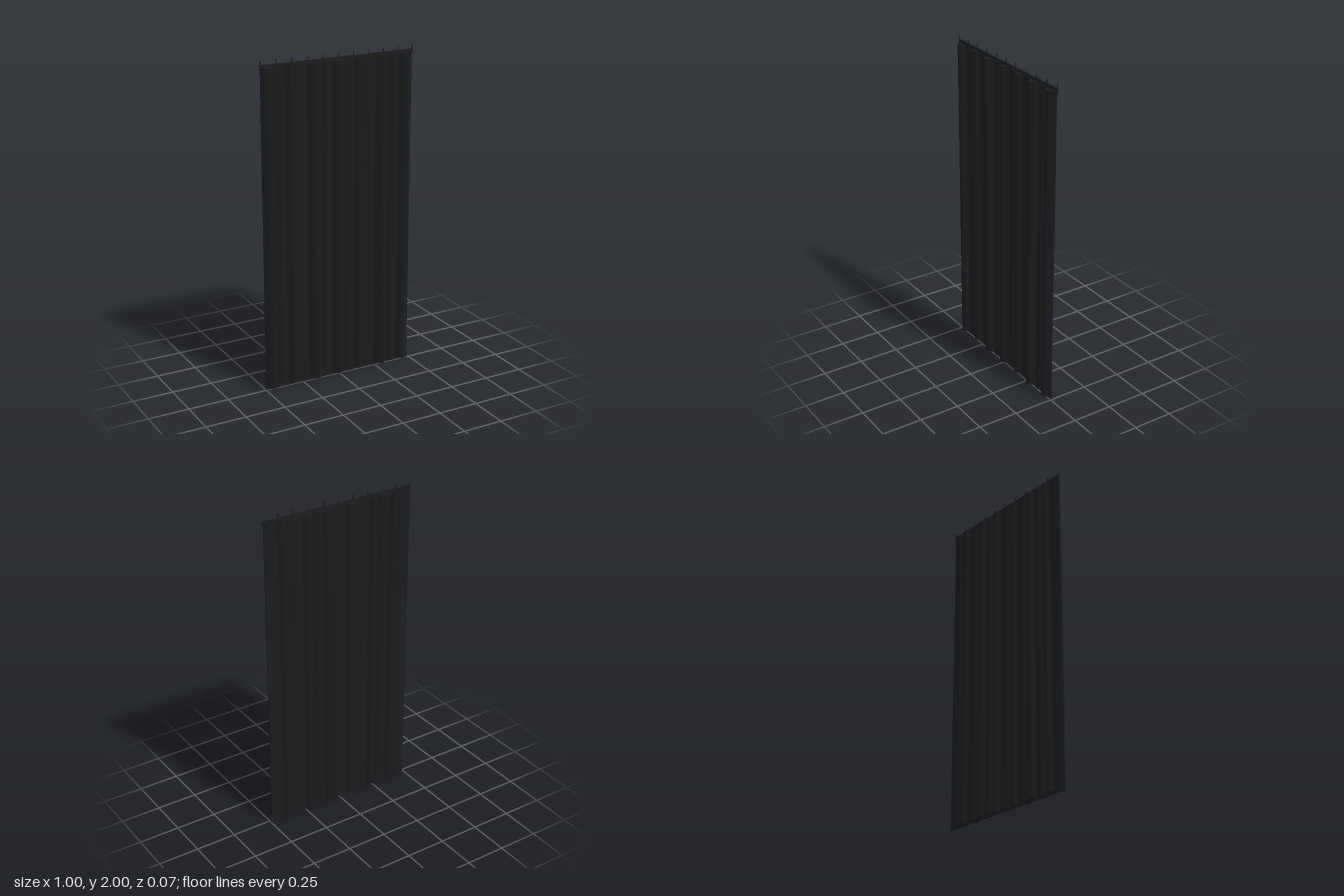
import * as THREE from 'three';
import { toCreasedNormals } from 'three/addons/utils/BufferGeometryUtils.js';

const cloth = new THREE.MeshStandardMaterial({ color: 0x1c1c1e, side: THREE.DoubleSide });
const PLANE = -0.01; // z of the flat hem

// Each fold of one repeat: start x, front bulge, back bulge
const REPEAT = 0.45;
const FOLDS = [
  [-0.495, 0.038, 0.013],
  [-0.41, 0.015, 0.027],
  [-0.345, 0.03, 0.018],
  [-0.273, 0.01, 0.026],
  [-0.205, 0.043, 0.015],
  [-0.115, 0.02, 0.022],
];

// Closed outline of all folds, run along the front and back again behind
function foldOutline() {
  const folds = [];
  for (let i = 0; i < 13; i++) {
    const [x, front, back] = FOLDS[i % 6];
    folds.push({ x: x + REPEAT * Math.floor(i / 6), front, back });
  }
  const frontLine = [], backLine = [], steps = 12;
  folds.forEach((f, i) => {
    const end = i < 12 ? folds[i + 1].x : 0.49;
    for (let s = 0; s < steps + (i === 12 ? 1 : 0); s++) {
      const t = s / steps, x = f.x + (end - f.x) * t;
      const bump = Math.max(0, Math.sin(Math.PI * t)) ** 1.2;
      frontLine.push(new THREE.Vector2(x, -(PLANE + 0.003 + (f.front - 0.003) * bump)));
      backLine.push(new THREE.Vector2(x, -(PLANE - 0.003 - (f.back - 0.003) * bump)));
    }
  });
  return new THREE.Shape([...frontLine, ...backLine.reverse()]);
}

export function createModel() {
  const group = new THREE.Group();
  group.name = 'curtain';
  const add = (name, geometry, x, y, z) => {
    const mesh = new THREE.Mesh(geometry, cloth);
    mesh.name = name;
    mesh.position.set(x, y, z);
    group.add(mesh);
  };

  // Hanging folds
  const folds = new THREE.ExtrudeGeometry(foldOutline(), { depth: 1.948, bevelEnabled: false });
  folds.rotateX(-Math.PI / 2);
  add('folds', toCreasedNormals(folds, 0.7), 0, 0.012, 0);

  // Flat hems above and below the folds
  add('topHem', new THREE.BoxGeometry(0.99, 0.03, 0.011), 0, 1.96, PLANE);
  add('bottomHem', new THREE.BoxGeometry(0.99, 0.025, 0.011), 0, 0.0125, PLANE);

  // Hanging tabs along the top edge
  for (let i = 0; i <= 10; i++) {
    add('hangingTab', new THREE.BoxGeometry(0.006, 0.03, 0.003), -0.495 + i * 0.099, 1.985, PLANE);
  }
  return group;
}
